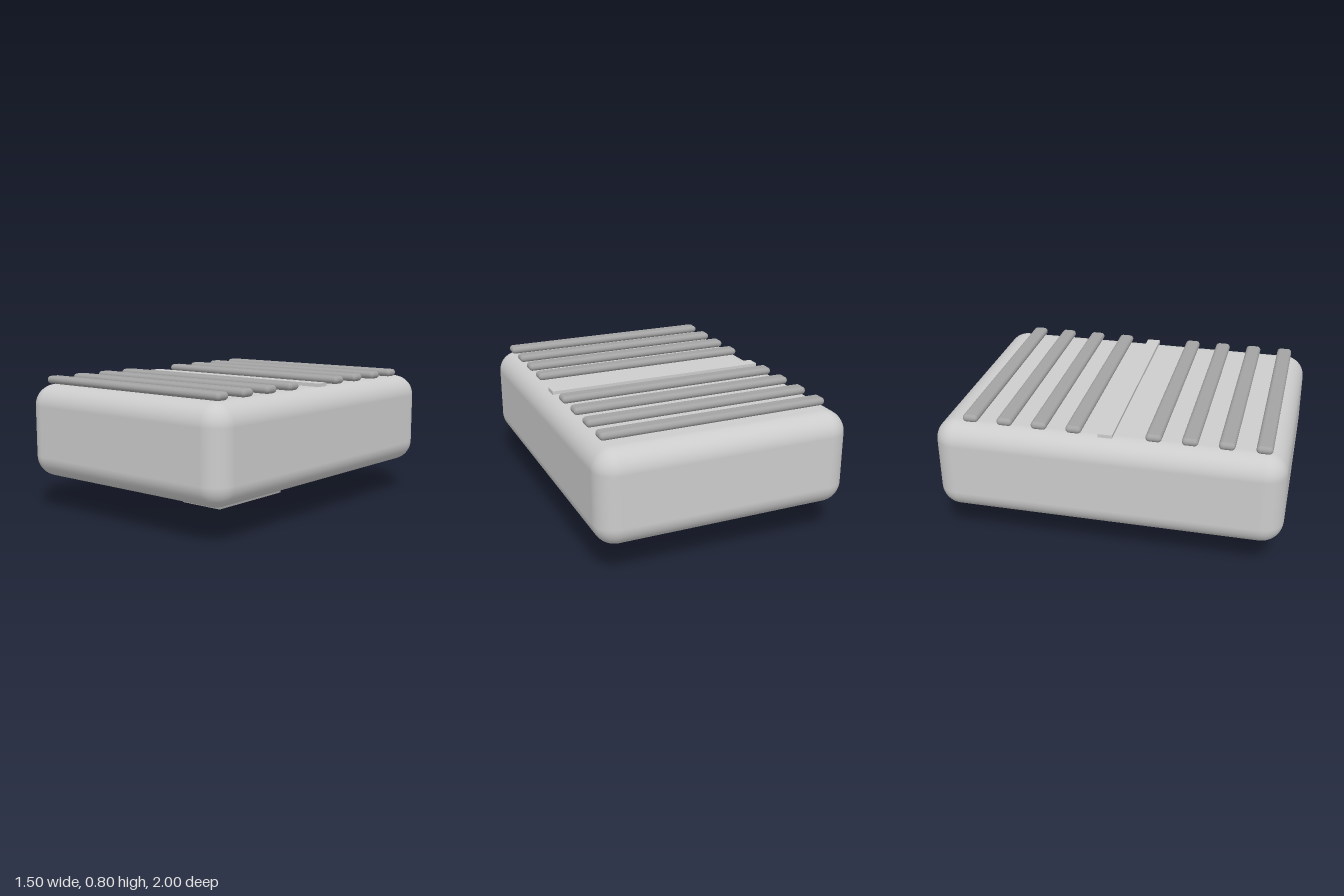
import * as THREE from 'three';
import { RoundedBoxGeometry } from 'three/addons/geometries/RoundedBoxGeometry.js';

export function createModel() {
  const group = new THREE.Group();
  const lightGrey = new THREE.MeshStandardMaterial({ color: 0xcccccc });
  lightGrey.name = 'lightGrey';
  const midGrey = new THREE.MeshStandardMaterial({ color: 0xa3a3a3 });
  midGrey.name = 'midGrey';

  const add = (name, geometry, material, y, z = 0) => {
    const mesh = new THREE.Mesh(geometry, material);
    mesh.name = name;
    mesh.position.set(0, y, z);
    group.add(mesh);
  };

  // Rounded slab
  add('body', new RoundedBoxGeometry(1.5, 0.55, 2, 6, 0.125), lightGrey, 0.475);

  // Mounting block underneath
  add('mount', new THREE.BoxGeometry(0.3, 0.2, 0.6), midGrey, 0.1);

  // Flat strip across the middle of the top
  add('centreStrip', new THREE.BoxGeometry(1.35, 0.02, 0.08), lightGrey, 0.762);

  // Two sets of four rounded grip ribs
  const rib = new RoundedBoxGeometry(1.35, 0.045, 0.09, 4, 0.0225);
  for (const start of [-0.783, 0.267]) {
    for (let i = 0; i < 4; i++) add('gripRib', rib, midGrey, 0.7745, start + i * 0.2);
  }
  return group;
}
